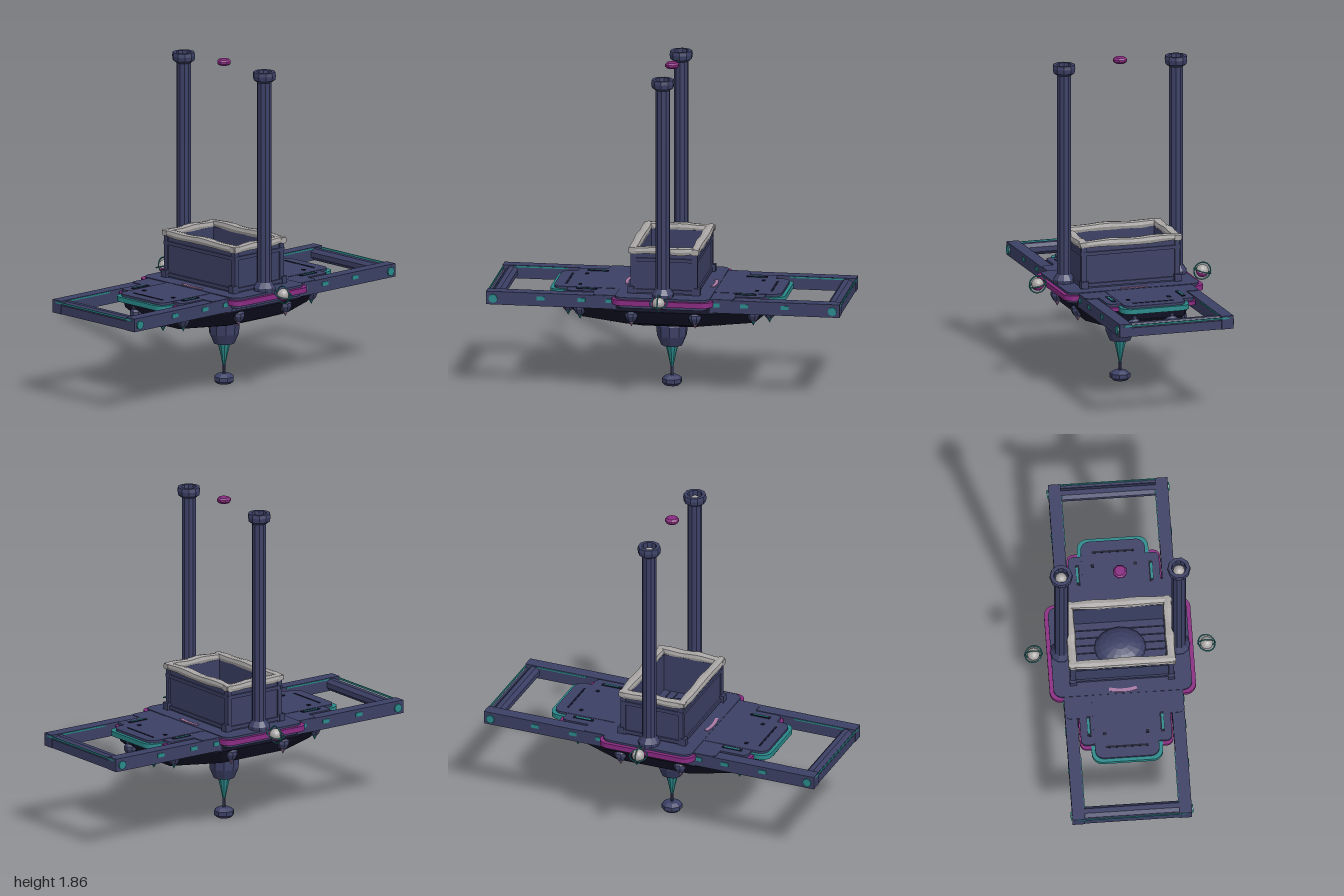
import * as THREE from 'three';
import { RoundedBoxGeometry } from 'three/addons/geometries/RoundedBoxGeometry.js';

const mat = (name, color, extra = {}) => {
  const m = new THREE.MeshStandardMaterial({ color, ...extra });
  m.name = name;
  return m;
};

export function createModel() {
  const flat = { flatShading: true };
  const navy = mat('navy metal', 0x3c4065, flat);
  const dark = mat('dark hull', 0x14152a, flat);
  const teal = mat('teal', 0x2a8a8c, flat);
  const magenta = mat('magenta', 0x8a2a82, flat);
  const grey = mat('pale grey', 0xaaa7a6, flat);
  const pink = mat('dusty pink', 0xa97aa6, flat);

  const root = new THREE.Group();
  const add = (name, geo, material, x = 0, y = 0, z = 0, parent = root) => {
    const mesh = new THREE.Mesh(geo, material);
    mesh.name = name;
    mesh.position.set(x, y, z);
    parent.add(mesh);
    return mesh;
  };
  const box = (name, w, h, d, m, x, y, z, parent) =>
    add(name, new THREE.BoxGeometry(w, h, d), m, x, y, z, parent);
  const lathe = (points, sides) => new THREE.LatheGeometry(
    points.map(([r, y]) => new THREE.Vector2(r, y)), sides, Math.PI / sides);
  const SIGNS = [-1, 1];

  // Rounded horizontal plate, given by half extents and its bottom and top
  const plate = (name, hx, hz, r, y0, y1, m) => {
    const s = new THREE.Shape();
    s.moveTo(-hx + r, -hz);
    s.lineTo(hx - r, -hz);
    s.absarc(hx - r, -hz + r, r, -Math.PI / 2, 0);
    s.absarc(hx - r, hz - r, r, 0, Math.PI / 2);
    s.absarc(-hx + r, hz - r, r, Math.PI / 2, Math.PI);
    s.absarc(-hx + r, -hz + r, r, Math.PI, Math.PI * 1.5);
    const g = new THREE.ExtrudeGeometry(s, { depth: y1 - y0, bevelEnabled: false, curveSegments: 5 });
    g.rotateX(-Math.PI / 2);
    add(name, g, m, 0, y0, 0);
  };

  // Deck: coloured rims with a navy tread inset on each
  plate('wingRim', 0.41, 0.285, 0.06, 0.55, 0.58, magenta);
  plate('wingTread', 0.388, 0.268, 0.05, 0.58, 0.592, navy);
  plate('wingUnderside', 0.38, 0.255, 0.05, 0.53, 0.55, navy);
  plate('middleRim', 0.262, 0.58, 0.04, 0.55, 0.572, magenta);
  plate('middleTread', 0.255, 0.56, 0.03, 0.572, 0.588, navy);
  plate('endRim', 0.2, 0.665, 0.06, 0.548, 0.576, teal);
  plate('endTread', 0.18, 0.645, 0.05, 0.576, 0.59, navy);
  plate('deckCore', 0.334, 0.4, 0.03, 0.53, 0.588, navy);

  // Lower hull: tapering octagonal sections
  const layers = [[0.55, 0.335, 0.6], [0.5, 0.335, 0.585], [0.415, 0.275, 0.49], [0.385, 0.19, 0.31]];
  const pos = [], idx = [];
  layers.forEach(([y, hx, hz]) => {
    const a = hx * 0.55, b = hz * 0.45;
    [[hx, b], [a, hz], [-a, hz], [-hx, b], [-hx, -b], [-a, -hz], [a, -hz], [hx, -b]]
      .forEach(([x, z]) => pos.push(x, y, z));
  });
  for (let l = 0; l < layers.length - 1; l++) {
    for (let i = 0; i < 8; i++) {
      const a = l * 8 + i, b = l * 8 + (i + 1) % 8;
      idx.push(a, b, a + 8, b, b + 8, a + 8);
    }
  }
  const last = (layers.length - 1) * 8;
  for (let i = 1; i < 7; i++) idx.push(last, last + i, last + i + 1);
  const hull = new THREE.BufferGeometry();
  hull.setAttribute('position', new THREE.Float32BufferAttribute(pos, 3));
  hull.setIndex(idx);
  hull.computeVertexNormals();
  dark.side = THREE.DoubleSide;
  add('hull', hull, dark);

  // Carrying rails with side lamps, and end cross bars
  for (const s of SIGNS) {
    box('rail', 0.07, 0.075, 2, navy, s * 0.3, 0.547, 0);
    for (const t of SIGNS) {
      for (const z of [0.3, 0.46, 0.69]) box('railLamp', 0.006, 0.022, 0.045, teal, s * 0.336, 0.555, t * z);
      const stud = add('railStud', new THREE.CylinderGeometry(0.025, 0.025, 0.016, 8), teal, s * 0.335, 0.545, t * 0.96);
      stud.rotation.z = Math.PI / 2;
      box('railInnerStrip', 0.006, 0.008, 0.3, teal, s * 0.264, 0.578, t * 0.78);
    }
    const bar = add('crossBar', new THREE.CylinderGeometry(0.036, 0.036, 0.54, 8), navy, 0, 0.545, s * 0.948);
    bar.rotation.set(Math.PI / 8, 0, Math.PI / 2);
    box('barPlate', 0.53, 0.05, 0.014, navy, 0, 0.535, s * 0.99);
    box('barStrip', 0.62, 0.01, 0.006, teal, 0, 0.572, s * 0.998);
  }

  // Deck markings
  for (const s of SIGNS) {
    const arc = new THREE.Shape();
    arc.absarc(0, 0, 0.3, Math.PI / 2 - 0.27, Math.PI / 2 + 0.27, false);
    arc.absarc(0, 0, 0.28, Math.PI / 2 + 0.27, Math.PI / 2 - 0.27, true);
    const g = new THREE.ExtrudeGeometry(arc, { depth: 0.004, bevelEnabled: false });
    g.rotateX(-Math.PI / 2);
    const a = add('deckArc', g, pink, 0, 0.592, s * -0.045);
    a.rotation.y = s > 0 ? Math.PI : 0;
    a.position.z = s * -0.04;
    box('deckSeam', 0.24, 0.004, 0.012, dark, 0, 0.59, s * 0.58);
    for (const t of SIGNS) {
      box('deckSlotFrame', 0.022, 0.005, 0.12, dark, t * 0.205, 0.589, s * 0.45);
      box('deckSlot', 0.012, 0.006, 0.09, teal, t * 0.208, 0.59, s * 0.45);
      box('deckBolt', 0.018, 0.006, 0.018, dark, t * 0.12, 0.591, s * 0.5);
    }
  }

  // Open bin with posts, bands and floor planks
  for (const s of SIGNS) {
    box('binLongWall', 0.56, 0.24, 0.025, navy, 0, 0.71, s * 0.168);
    box('binShortWall', 0.03, 0.24, 0.36, navy, s * 0.267, 0.71, 0);
    for (const y of [0.61, 0.79]) {
      box('binBand', 0.585, 0.02, 0.012, navy, 0, y, s * 0.184);
      box('binSideBand', 0.012, 0.02, 0.37, navy, s * 0.286, y, 0);
    }
    for (const t of SIGNS) {
      box('binPost', 0.03, 0.25, 0.03, navy, s * 0.275, 0.715, t * 0.174);
      box('binFoot', 0.04, 0.04, 0.035, navy, s * 0.275, 0.615, t * 0.188);
    }
  }
  for (let i = -3; i <= 3; i++) box('floorPlank', 0.51, 0.012, 0.04, navy, 0, 0.6, i * 0.045);
  const dome = add('floorDome', new THREE.SphereGeometry(1, 16, 10), navy, 0, 0.61, 0);
  dome.scale.set(0.145, 0.07, 0.12);

  // Rough padded rim around the bin
  const padding = (length, seed) => {
    const g = new RoundedBoxGeometry(length, 0.044, 0.054, 3, 0.015);
    const src = new THREE.BoxGeometry(length, 0.044, 0.054, 10, 2, 2);
    const p = src.attributes.position;
    for (let i = 0; i < p.count; i++) {
      const x = p.getX(i), u = x / length;
      const k = 1 - 0.25 * Math.pow(Math.abs(2 * u), 4) + 0.07 * Math.sin(u * 17 + seed);
      const corner = Math.abs(p.getY(i)) > 0.02 && Math.abs(p.getZ(i)) > 0.02 ? 0.82 : 1;
      p.setXYZ(i, x, p.getY(i) * k * corner + 0.003 * Math.sin(u * 11 + seed), p.getZ(i) * k * corner);
    }
    g.dispose();
    src.computeVertexNormals();
    return src;
  };
  for (const s of SIGNS) {
    add('rimLong', padding(0.6, s), grey, 0, 0.845, s * 0.177);
    add('rimShort', padding(0.4, s + 2), grey, s * 0.276, 0.843, 0).rotation.y = Math.PI / 2;
  }

  // Tall columns with hollow caps, and hovering orbs outside them
  const columnGeo = lathe([[0.062, 0.585], [0.062, 0.61], [0.041, 0.64], [0.041, 1.785],
    [0.062, 1.8], [0.066, 1.825], [0.062, 1.845], [0.042, 1.845], [0.04, 1.8], [0, 1.8]], 10);
  for (const s of SIGNS) {
    add('column', columnGeo, navy, s * 0.33, 0, 0);
    add('columnLens', new THREE.SphereGeometry(0.033, 10, 6, 0, Math.PI * 2, 0, Math.PI / 2), grey, s * 0.33, 1.8, 0);

    const orb = new THREE.Group();
    orb.name = 'orb';
    orb.position.set(s * 0.485, 0.59, 0);
    orb.rotation.z = s * -0.3;
    add('orbTop', new THREE.SphereGeometry(0.036, 14, 6, 0, Math.PI * 2, 0, Math.PI * 0.58), grey, 0, 0, 0, orb);
    add('orbBottom', new THREE.SphereGeometry(0.036, 14, 5, 0, Math.PI * 2, Math.PI * 0.58, Math.PI * 0.42), magenta, 0, 0, 0, orb);
    const ring = new THREE.TorusGeometry(0.049, 0.004, 5, 24);
    add('orbRing', ring, teal, 0, 0, 0, orb);
    add('orbBelt', ring, teal, 0, 0, 0, orb).rotation.x = Math.PI / 2;
    root.add(orb);
  }

  // Floating beacon
  const beacon = lathe([[0, 1.828], [0.03, 1.828], [0.04, 1.838], [0.04, 1.85], [0.03, 1.86], [0, 1.86]], 8);
  add('beacon', beacon, magenta);

  // Thruster pods around the hull
  const podGeo = lathe([[0.015, 0.435], [0.026, 0.445], [0.038, 0.47], [0.036, 0.487], [0.022, 0.5], [0.02, 0.55]], 8);
  const tipGeo = lathe([[0, 0.408], [0.017, 0.44], [0, 0.445]], 8);
  for (const [x, z] of [[0.31, 0.18], [0.23, 0.31], [0.19, 0.49], [0.11, 0.57]]) {
    for (const s of SIGNS) for (const t of SIGNS) {
      add('pod', podGeo, navy, s * x, 0, t * z);
      add('podTip', tipGeo, x > 0.3 ? pink : teal, s * x, 0, t * z);
    }
  }

  // Central keel engine, spike and foot
  add('keelEngine', lathe([[0, 0.232], [0.06, 0.232], [0.085, 0.29], [0.09, 0.35], [0.08, 0.38], [0.06, 0.39]], 10), navy);
  add('keelSpike', lathe([[0.009, 0.11], [0.02, 0.165], [0.037, 0.235]], 10), teal);
  add('keelRod', new THREE.CylinderGeometry(0.009, 0.009, 0.08, 8), navy, 0, 0.085, 0);
  add('keelFoot', lathe([[0, 0], [0.04, 0], [0.058, 0.016], [0.058, 0.04], [0.035, 0.056], [0, 0.058]], 8), navy);
  for (const s of SIGNS) box('keelFin', 0.012, 0.035, 0.02, teal, s * 0.075, 0.375, s * 0.04);

  return root;
}
